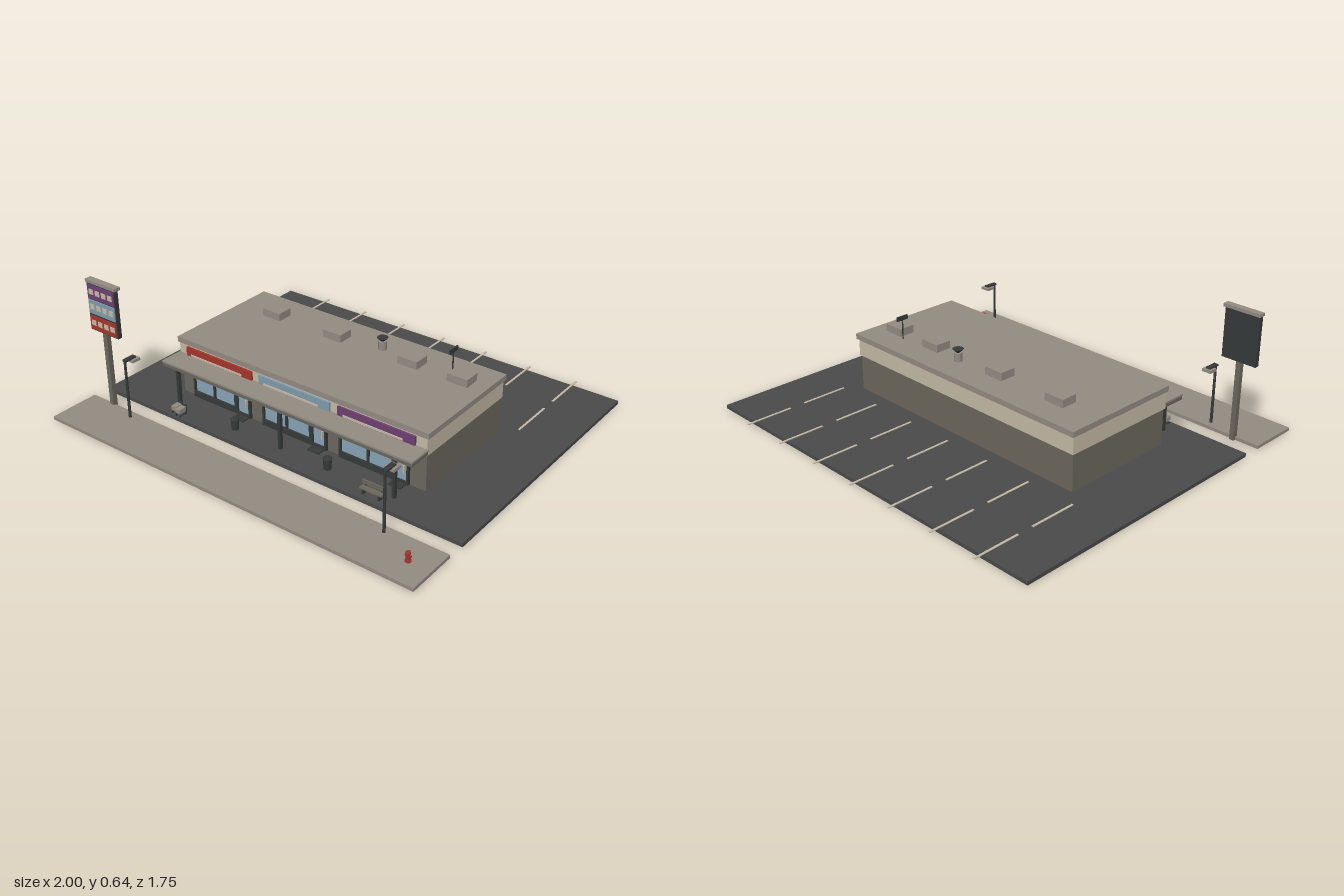
import * as THREE from 'three';

const mat = (name, color) => {
  const m = new THREE.MeshStandardMaterial({ color });
  m.name = name;
  return m;
};

export function createModel() {
  const asphalt = mat('asphalt', 0x4a4a4a), concrete = mat('concrete', 0x928b82);
  const brown = mat('brown wall', 0x6b675c), cream = mat('cream', 0xc4baa5);
  const red = mat('red', 0xa3352b), blue = mat('pale blue', 0x7f9cac);
  const purple = mat('purple', 0x6e3f72), dark = mat('dark metal', 0x363a39);
  const glass = mat('glass', 0x86a3b5);

  const model = new THREE.Group();
  model.name = 'stripMall';
  const group = (name, parent = model) => {
    const g = new THREE.Group();
    g.name = name;
    parent.add(g);
    return g;
  };
  const add = (parent, name, geo, m, x = 0, y = 0, z = 0) => {
    const mesh = new THREE.Mesh(geo, m);
    mesh.name = name;
    mesh.position.set(x, y, z);
    parent.add(mesh);
    return mesh;
  };
  // Box given by its extents along each axis
  const box = (parent, name, m, x0, x1, y0, y1, z0, z1) =>
    add(parent, name, new THREE.BoxGeometry(x1 - x0, y1 - y0, z1 - z0), m,
      (x0 + x1) / 2, (y0 + y1) / 2, (z0 + z1) / 2);
  // Upright cylinder from y0 to y1
  const cyl = (parent, name, m, x, z, y0, y1, rTop, rBottom = rTop, sides = 12) =>
    add(parent, name, new THREE.CylinderGeometry(rTop, rBottom, y1 - y0, sides), m, x, (y0 + y1) / 2, z);

  // Ground
  box(model, 'parkingLot', asphalt, -1, 1, 0, 0.018, -0.84, 0.53);
  box(model, 'sidewalk', concrete, -1, 1, 0.004, 0.02, 0.62, 0.87);
  const lines = group('parkingLines');
  for (let i = -3; i <= 3; i++) {
    const x = i * 0.2525;
    for (const [z0, z1] of [[-0.88, -0.645], [-0.565, -0.33]])
      box(lines, 'parkingLine', cream, x - 0.005, x + 0.005, 0.017, 0.021, z0, z1);
  }

  // Building shell
  const building = group('building');
  box(building, 'lowerWalls', brown, -0.69, 0.69, 0.018, 0.197, -0.26, 0.325);
  box(building, 'upperWalls', cream, -0.695, 0.695, 0.197, 0.283, -0.267, 0.333);
  box(building, 'roof', concrete, -0.703, 0.703, 0.283, 0.31, -0.278, 0.338);

  // Canopy with posts
  const canopy = group('canopy');
  box(canopy, 'canopyFascia', brown, -0.698, 0.698, 0.204, 0.222, 0.333, 0.447);
  box(canopy, 'canopyTop', concrete, -0.7, 0.7, 0.222, 0.231, 0.333, 0.45);
  for (const x of [-0.61, 0, 0.61])
    box(canopy, 'canopyPost', dark, x - 0.008, x + 0.008, 0.018, 0.204, 0.432, 0.448);

  // Shop fronts: glazing, frames, door and fascia sign
  const shops = [
    { x0: -0.61, x1: -0.27, s: -0.445, m: red, bars: [-0.485, -0.355] },
    { x0: -0.185, x1: 0.17, s: -0.003, m: blue, bars: [-0.05, 0.085] },
    { x0: 0.25, x1: 0.605, s: 0.44, m: purple, bars: [0.4, 0.535] },
  ];
  for (const { x0, x1, s, m, bars } of shops) {
    const shop = group('shopFront');
    box(shop, 'windowGlass', glass, x0, x1, 0.025, 0.188, 0.322, 0.33);
    box(shop, 'windowHead', dark, x0 - 0.005, x1 + 0.005, 0.182, 0.19, 0.325, 0.34);
    box(shop, 'kickPlate', dark, x0, x1 - 0.075, 0.02, 0.05, 0.325, 0.34);
    for (const x of [x0, ...bars, x1 - 0.075, x1])
      box(shop, 'windowBar', dark, x - 0.005, x + 0.005, 0.02, 0.188, 0.325, 0.34);
    box(shop, 'doorTopRail', dark, x1 - 0.075, x1, 0.155, 0.162, 0.325, 0.337);
    box(shop, 'doorBottomRail', dark, x1 - 0.075, x1, 0.02, 0.034, 0.325, 0.337);
    box(shop, 'doorHandle', cream, x1 - 0.018, x1 - 0.013, 0.075, 0.115, 0.33, 0.344);
    box(shop, 'doorMat', dark, x1 - 0.07, x1 - 0.005, 0.017, 0.023, 0.335, 0.38);
    box(shop, 'fasciaSign', m, s - 0.2, s + 0.2, 0.228, 0.275, 0.33, 0.343);
    box(shop, 'signStripe', cream, s - 0.17, s + 0.14, 0.234, 0.244, 0.34, 0.346);
  }
  box(model, 'redWindowPoster', red, -0.56, -0.49, 0.142, 0.163, 0.329, 0.335);
  box(model, 'purpleWindowPoster', purple, 0.32, 0.4, 0.142, 0.163, 0.329, 0.335);

  // Roof equipment
  const roofGear = group('roofEquipment');
  for (const x of [-0.476, -0.11, 0.313, 0.575])
    box(roofGear, 'airUnit', concrete, x - 0.052, x + 0.052, 0.31, 0.348, -0.152, -0.07);
  cyl(roofGear, 'ventPipe', concrete, 0.13, -0.14, 0.31, 0.352, 0.02);
  cyl(roofGear, 'ventCowl', dark, 0.13, -0.14, 0.35, 0.37, 0.027, 0.006);
  cyl(roofGear, 'antennaMast', dark, 0.498, -0.157, 0.31, 0.41, 0.0035, 0.0035, 6);
  box(roofGear, 'antennaPanel', dark, 0.495, 0.501, 0.405, 0.427, -0.19, -0.126);

  // Roadside sign with three tenant bands
  const pylon = group('roadsideSign');
  box(pylon, 'signPole', brown, -0.879, -0.855, 0.004, 0.39, 0.608, 0.632);
  box(pylon, 'signCabinet', dark, -0.955, -0.778, 0.39, 0.627, 0.608, 0.63);
  box(pylon, 'signCap', concrete, -0.96, -0.77, 0.627, 0.642, 0.6, 0.634);
  [[red, 0.396], [blue, 0.476], [purple, 0.551]].forEach(([m, y]) => {
    box(pylon, 'signBand', m, -0.95, -0.783, y, y + 0.069, 0.628, 0.635);
    for (let i = 0; i < 4; i++) {
      const x = -0.938 + i * 0.04;
      box(pylon, 'signTile', cream, x, x + 0.027, y + 0.024, y + 0.049, 0.633, 0.638);
    }
  });

  // Street lamps
  for (const x of [-0.718, 0.715]) {
    const lamp = group('streetLamp');
    cyl(lamp, 'lampPole', dark, x, 0.658, 0.02, 0.316, 0.006, 0.007, 8);
    box(lamp, 'lampArm', dark, x - 0.011, x + 0.011, 0.308, 0.317, 0.6, 0.662);
    box(lamp, 'lampHead', concrete, x - 0.024, x + 0.024, 0.296, 0.309, 0.587, 0.632);
  }

  // Litter bins
  for (const x of [-0.267, 0.262]) {
    const bin = group('litterBin');
    cyl(bin, 'binBody', dark, x, 0.44, 0.018, 0.07, 0.02, 0.017);
    cyl(bin, 'binLid', dark, x, 0.44, 0.07, 0.078, 0.014, 0.022);
  }

  // Bench
  const bench = group('bench');
  box(bench, 'benchSeat', brown, 0.476, 0.59, 0.042, 0.048, 0.475, 0.503);
  box(bench, 'benchBack', brown, 0.476, 0.59, 0.056, 0.077, 0.475, 0.48);
  for (const x of [0.492, 0.574]) {
    box(bench, 'benchLeg', dark, x - 0.004, x + 0.004, 0.018, 0.042, 0.478, 0.5);
    box(bench, 'benchBackPost', dark, x - 0.004, x + 0.004, 0.042, 0.074, 0.473, 0.477);
  }

  // Shopping carts
  [[-0.578, 0.495], [-0.545, 0.503]].forEach(([x, z]) => {
    const cart = group('shoppingCart');
    box(cart, 'cartBasket', concrete, x - 0.014, x + 0.014, 0.037, 0.058, z - 0.02, z + 0.022);
    box(cart, 'cartHandle', dark, x - 0.015, x + 0.015, 0.062, 0.066, z - 0.027, z - 0.022);
    for (const sx of [-0.012, 0.012]) {
      box(cart, 'cartFrame', dark, x + sx - 0.002, x + sx + 0.002, 0.022, 0.064, z - 0.025, z - 0.02);
      box(cart, 'cartRail', dark, x + sx - 0.002, x + sx + 0.002, 0.024, 0.028, z - 0.025, z + 0.02);
      for (const sz of [-0.018, 0.018])
        add(cart, 'cartWheel', new THREE.CylinderGeometry(0.005, 0.005, 0.004, 8), dark,
          x + sx, 0.023, z + sz).rotation.z = Math.PI / 2;
    }
  });

  // Fire hydrant
  const hydrant = group('hydrant');
  cyl(hydrant, 'hydrantBase', red, 0.893, 0.75, 0.02, 0.026, 0.014);
  cyl(hydrant, 'hydrantBody', red, 0.893, 0.75, 0.026, 0.058, 0.0095);
  add(hydrant, 'hydrantDome', new THREE.SphereGeometry(0.0115, 12, 8), red, 0.893, 0.059, 0.75);
  add(hydrant, 'hydrantOutlets', new THREE.CylinderGeometry(0.0045, 0.0045, 0.029, 8), red,
    0.893, 0.047, 0.75).rotation.z = Math.PI / 2;

  return model;
}
